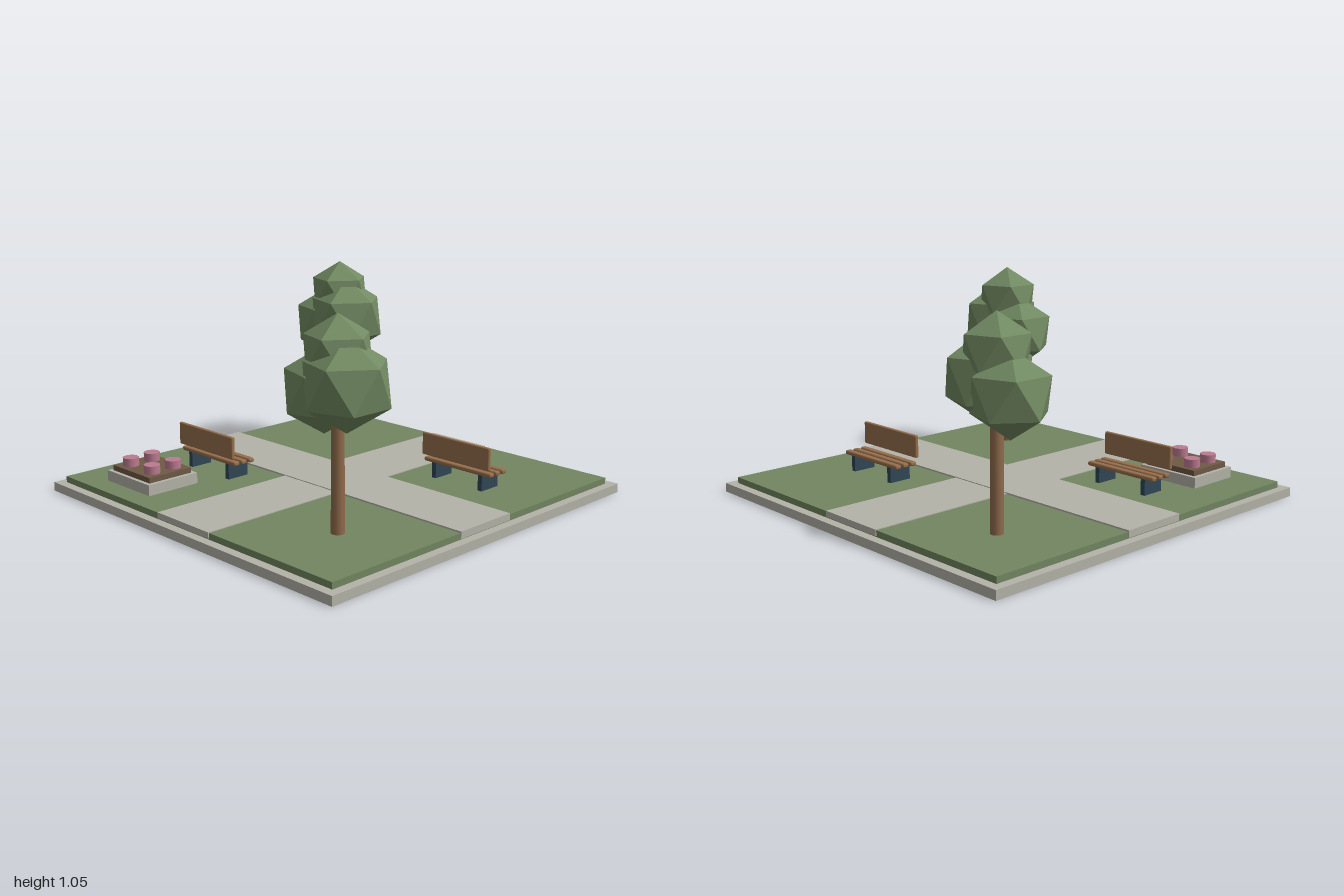
import * as THREE from 'three';
import { RoundedBoxGeometry } from 'three/addons/geometries/RoundedBoxGeometry.js';

const material = (name, color, flatShading = false) => {
  const m = new THREE.MeshStandardMaterial({ color, flatShading });
  m.name = name;
  return m;
};

export function createModel() {
  const stone = material('stone', 0xb4b3a8);
  const paving = material('paving', 0xb4b3a9);
  const grass = material('grass', 0x728661);
  const wood = material('wood', 0x966f4c);
  const bark = material('bark', 0x8f6b4c);
  const leaves = material('leaves', 0x728a62, true);
  const iron = material('iron', 0x2f4655);
  const soil = material('soil', 0x6f5a45);
  const petals = material('petals', 0xbb7b90);

  const park = new THREE.Group();
  park.name = 'park';

  function add(parent, name, geometry, mat, x, y, z) {
    const mesh = new THREE.Mesh(geometry, mat);
    mesh.name = name;
    mesh.position.set(x, y, z);
    parent.add(mesh);
    return mesh;
  }
  // Box standing on height y0 and reaching y1
  const slab = (parent, name, mat, w, d, y0, y1, x = 0, z = 0) =>
    add(parent, name, new THREE.BoxGeometry(w, y1 - y0, d), mat, x, (y0 + y1) / 2, z);

  function group(name, x, z) {
    const g = new THREE.Group();
    g.name = name;
    g.position.set(x, 0, z);
    park.add(g);
    return g;
  }

  // Ground: kerb slab, lawn and two crossing paths
  slab(park, 'base', stone, 2, 2, 0, 0.045);
  slab(park, 'lawn', grass, 1.91, 1.91, 0.045, 0.076);
  slab(park, 'longPath', paving, 0.37, 1.92, 0.05, 0.08);
  slab(park, 'crossPath', paving, 1.92, 0.345, 0.05, 0.084);

  // Trees: round trunk and three faceted crowns, each with a corner on top
  const crowns = [
    [0.167, 0, 0.884, 0],
    [0.212, 0.074, 0.757, 0.02],
    [0.197, -0.088, 0.705, -0.004],
  ];
  function tree(x, z) {
    const g = group('tree', x, z);
    add(g, 'trunk', new THREE.CylinderGeometry(0.03, 0.032, 0.66, 12), bark, 0, 0.37, 0);
    for (const [r, cx, cy, cz] of crowns) {
      const ico = new THREE.IcosahedronGeometry(r, 0);
      ico.rotateZ(-Math.atan(2 / (1 + Math.sqrt(5))));
      add(g, 'crown', ico, leaves, cx, cy, cz);
    }
  }
  tree(-0.577, -0.6);
  tree(0.577, 0.552);

  // Benches: three seat slats, a back board and two legs
  function bench(x, z) {
    const g = group('bench', x, z);
    for (const i of [-1, 0, 1]) {
      add(g, 'seatSlat', new RoundedBoxGeometry(0.42, 0.022, 0.034, 2, 0.008), wood, 0, 0.164, i * 0.047);
    }
    add(g, 'backBoard', new RoundedBoxGeometry(0.42, 0.114, 0.02, 2, 0.006), wood, 0, 0.248, 0.07);
    for (const side of [-1, 1]) {
      slab(g, 'leg', iron, 0.025, 0.122, 0.07, 0.157, side * 0.146, 0);
    }
  }
  bench(0.5, -0.403);
  bench(-0.5, 0.347);

  // Flower bed: stone plinth, raised soil and four blooms
  const bed = group('flowerBed', -0.578, 0.7);
  slab(bed, 'plinth', stone, 0.343, 0.29, 0.07, 0.13);
  slab(bed, 'soil', soil, 0.3, 0.25, 0.12, 0.157);
  for (const sx of [-1, 1]) {
    for (const sz of [-1, 1]) {
      add(bed, 'flower', new THREE.CylinderGeometry(0.04, 0.04, 0.045, 12), petals, sx * 0.087, 0.176, sz * 0.063);
    }
  }

  return park;
}
